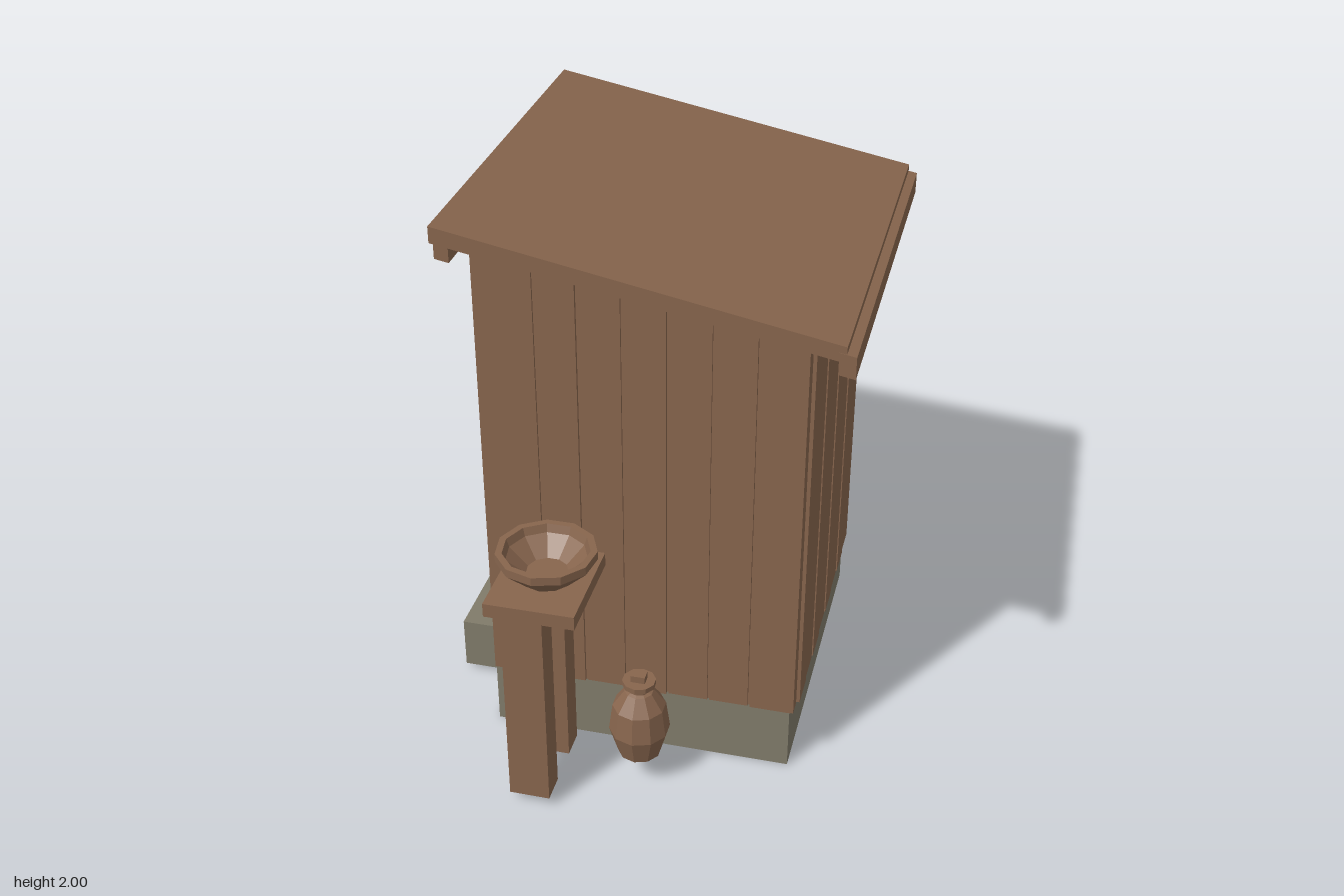
import * as THREE from 'three';

const material = (name, color) => {
  const m = new THREE.MeshStandardMaterial({ color });
  m.name = name;
  return m;
};

export function createModel() {
  const shed = new THREE.Group();
  shed.name = 'shed';
  const wood = material('brown wood', 0x87654d);
  const stone = material('grey stone', 0x807b6a);
  const iron = material('dark iron', 0x45483f);

  const add = (name, geometry, mat, parent = shed) => {
    const mesh = new THREE.Mesh(geometry, mat);
    mesh.name = name;
    parent.add(mesh);
    return mesh;
  };
  // Box given by its lower and upper limits on each axis
  const box = (name, mat, [x0, x1], [y0, y1], [z0, z1], parent) => {
    const mesh = add(name, new THREE.BoxGeometry(x1 - x0, y1 - y0, z1 - z0), mat, parent);
    mesh.position.set((x0 + x1) / 2, (y0 + y1) / 2, (z0 + z1) / 2);
    return mesh;
  };
  // Outline in x and y, extended from z0 to z1
  const prism = (name, mat, points, z0, z1, parent) => {
    const shape = new THREE.Shape(points.map(p => new THREE.Vector2(...p)));
    const geometry = new THREE.ExtrudeGeometry(shape, { depth: z1 - z0, bevelEnabled: false });
    return add(name, geometry.translate(0, 0, z0), mat, parent);
  };
  // Faceted turned shape
  const turned = (name, profile, sides, parent) => {
    const lathe = new THREE.LatheGeometry(profile.map(p => new THREE.Vector2(...p)), sides).toNonIndexed();
    lathe.computeVertexNormals();
    return add(name, lathe, wood, parent);
  };
  const group = (name, x = 0, y = 0, z = 0) => {
    const g = new THREE.Group();
    g.name = name;
    g.position.set(x, y, z);
    shed.add(g);
    return g;
  };

  // Height of the sloping roof's underside
  const eave = x => 1.945 - 0.19 * (x + 0.6);
  const slab = (x0, x1, y0) => [[x0, y0], [x1, y0], [x1, eave(x1)], [x0, eave(x0)]];

  // Stone base and doorstep
  box('foundation', stone, [-0.515, 0.55], [0, 0.245], [-0.73, 0.44]);
  box('doorstep', stone, [-0.725, -0.515], [0.025, 0.22], [-0.51, 0.205]);

  // Inner walls, flat on the door side
  prism('wallCore', wood, slab(-0.515, 0.556, 0.245), -0.728, 0.443);

  // Sloped-top boards on the front and back walls
  const gap = 0.004;
  const frontEdges = [-0.515, -0.315, -0.175, -0.03, 0.118, 0.264, 0.408, 0.56];
  const frontBoards = group('frontBoards'), backBoards = group('backBoards');
  for (let i = 0; i < frontEdges.length - 1; i++) {
    const x0 = frontEdges[i] + (i ? gap : 0), x1 = frontEdges[i + 1] - gap;
    const outline = slab(x0, x1, 0.243 + (i % 3) * 0.003);
    const out = (i % 2) * 0.003;
    prism('frontBoard', wood, outline, 0.44, 0.452 + out, frontBoards);
    prism('backBoard', wood, outline, -0.738 - out, -0.726, backBoards);
  }

  // Boards on the low side wall
  const sideBoards = group('sideBoards');
  for (let i = 0; i < 8; i++) {
    const z0 = -0.682 + i * 0.134;
    box('sideBoard', wood, [0.55, 0.573 + (i % 2) * 0.003], [0.243, eave(0.573)], [z0 + gap, z0 + 0.134 - gap], sideBoards);
  }
  for (const [z0, z1] of [[-0.738, -0.686], [0.394, 0.452]]) {
    box('cornerBoard', wood, [0.55, 0.565], [0.245, eave(0.565)], [z0, z1], sideBoards);
  }

  // Door with hinges, latch and pull shelf
  const door = group('door');
  const doorEdges = [-0.47, -0.37, -0.26, -0.14, -0.02, 0.1, 0.21];
  for (let i = 0; i < doorEdges.length - 1; i++) {
    box('doorBoard', wood, [-0.519, -0.512], [0.29, 1.62], [doorEdges[i] + 0.003, doorEdges[i + 1] - 0.003], door);
  }
  for (const y of [0.548, 1.365]) box('hinge', iron, [-0.54, -0.512], [y - 0.017, y + 0.017], [-0.51, -0.24], door);
  box('latchPlate', iron, [-0.555, -0.512], [0.94, 1.02], [0.05, 0.18], door);
  box('latchBar', iron, [-0.58, -0.55], [0.965, 0.992], [-0.01, 0.12], door);
  box('wallShelf', wood, [-0.63, -0.51], [0.875, 0.925], [-0.7, -0.53]);

  // Roof with a fascia on the low side and a batten on the high side
  prism('roof', wood, [[-0.6, 1.945], [0.69, 1.7], [0.69, 1.755], [-0.6, 2]], -0.86, 0.565);
  prism('lowFascia', wood, [[0.667, 1.66], [0.72, 1.65], [0.72, 1.725], [0.667, 1.735]], -0.86, 0.567);
  prism('highBatten', wood, [[-0.587, 1.893], [-0.54, 1.884], [-0.54, 1.936], [-0.587, 1.945]], -0.858, 0.563);

  // Wash stand and bowl
  const stand = group('washStand');
  box('standTop', wood, [-0.39, -0.085], [0.79, 0.84], [0.495, 0.862], stand);
  for (const z of [0.51, 0.745]) box('standLeg', wood, [-0.34, -0.2], [0.035, 0.79], [z, z + 0.1], stand);
  const bowl = turned('bowl', [[0, 0.841], [0.09, 0.841], [0.168, 0.918], [0.168, 0.948], [0.145, 0.948],
    [0.135, 0.92], [0.07, 0.862], [0, 0.862]], 11);
  bowl.position.set(-0.233, 0, 0.665);

  // Stoppered jug
  const jug = group('jug', 0.06, 0, 0.615);
  turned('jugBody', [[0, 0.12], [0.075, 0.12], [0.105, 0.22], [0.092, 0.32], [0.05, 0.38], [0.038, 0.385],
    [0.038, 0.402], [0.058, 0.406], [0.058, 0.425], [0, 0.425]], 10, jug);
  box('stopper', wood, [-0.025, 0.025], [0.42, 0.45], [-0.02, 0.02], jug);

  return shed;
}
